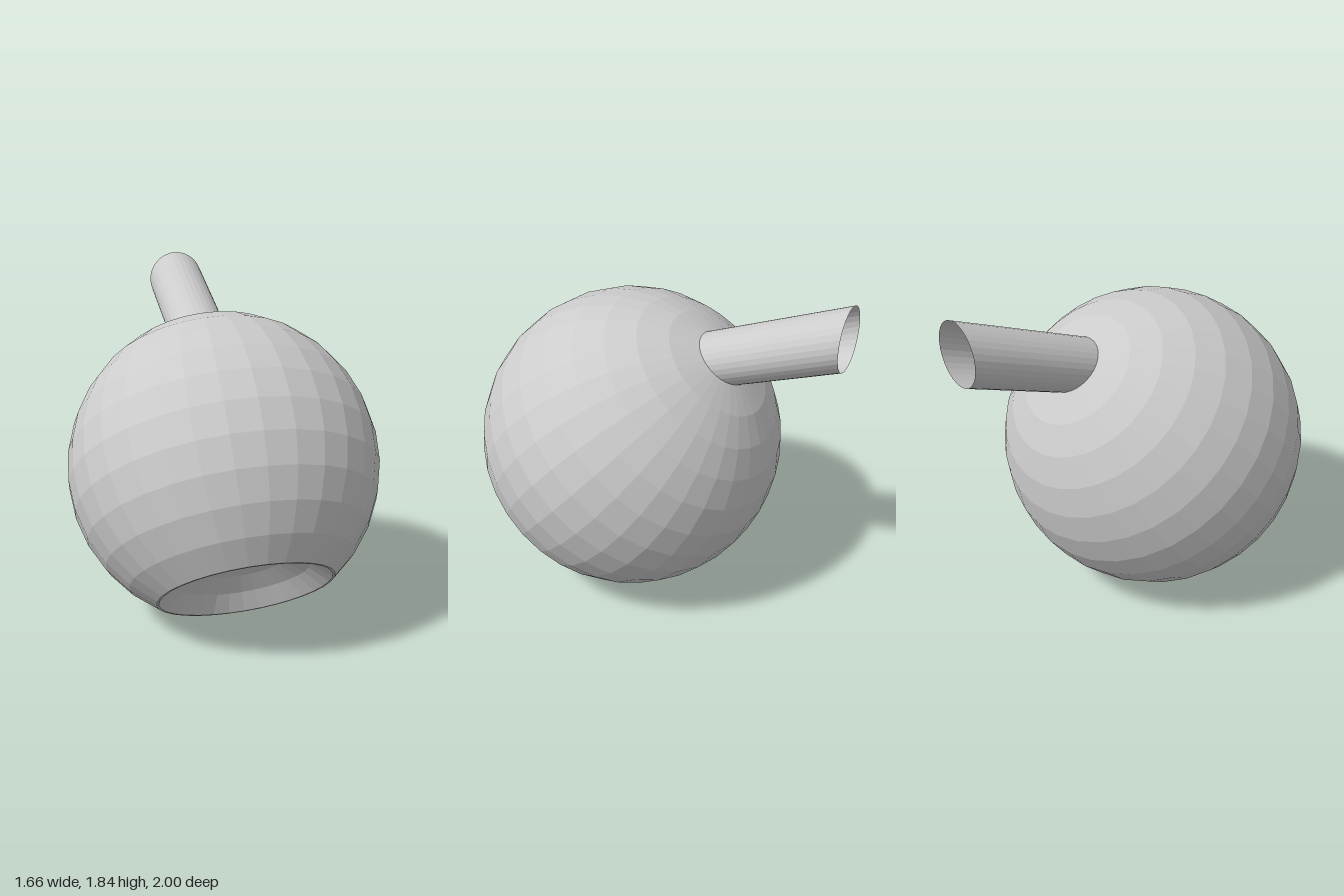
import * as THREE from 'three';

const SEGMENTS = 32;
const STEP = Math.PI / 16; // one latitude band of the globe
const R = 0.83; // globe radius
const TILT = -0.727; // globe axis leans back
const CENTER = new THREE.Vector3(0, 0.83, 0.17);

const material = new THREE.MeshStandardMaterial({
  color: 0xcccccc, flatShading: true, side: THREE.DoubleSide,
});

function addMesh(group, name, geometry) {
  geometry.computeVertexNormals();
  const mesh = new THREE.Mesh(geometry, material);
  mesh.name = name;
  group.add(mesh);
  return mesh;
}

function placeOnAxis(mesh) {
  mesh.position.copy(CENTER);
  mesh.rotation.x = TILT;
}

// Globe cut off at the bottom, with an open collar at the top for the neck
function globeGeometry() {
  const points = [];
  for (let i = 13; i >= 1; i--) {
    points.push(new THREE.Vector2(R * Math.sin(i * STEP), R * Math.cos(i * STEP)));
  }
  return new THREE.LatheGeometry(points, SEGMENTS);
}

// Shallow concave dish set into the opening, with a thin flat rim
function dishGeometry() {
  const rimY = R * Math.cos(13 * STEP);
  const rimR = R * Math.sin(13 * STEP);
  const innerR = 0.45;
  const arc = 0.836;
  const dishR = innerR / Math.sin(arc);
  const points = [];
  for (let i = 0; i <= 4; i++) {
    const a = (arc * i) / 4;
    points.push(new THREE.Vector2(
      dishR * Math.sin(a), rimY + dishR * (Math.cos(a) - Math.cos(arc))));
  }
  points.push(new THREE.Vector2(rimR, rimY));
  return new THREE.LatheGeometry(points, SEGMENTS);
}

// Open tube from the tilted collar to an upright round end
function neckGeometry() {
  const r = R * Math.sin(STEP);
  const geometry = new THREE.CylinderGeometry(r, r, 1, SEGMENTS, 1, true);
  const pos = geometry.attributes.position;
  const axis = new THREE.Vector3(1, 0, 0);
  const v = new THREE.Vector3();
  for (let i = 0; i < pos.count; i++) {
    v.fromBufferAttribute(pos, i);
    if (v.y > 0) v.set(v.x, 1.68 + v.z, -1);
    else v.setY(R * Math.cos(STEP)).applyAxisAngle(axis, TILT).add(CENTER);
    pos.setXYZ(i, v.x, v.y, v.z);
  }
  return geometry;
}

export function createModel() {
  const group = new THREE.Group();
  group.name = 'globeWithNeck';
  placeOnAxis(addMesh(group, 'globe', globeGeometry()));
  placeOnAxis(addMesh(group, 'dish', dishGeometry()));
  addMesh(group, 'neck', neckGeometry());
  return group;
}
